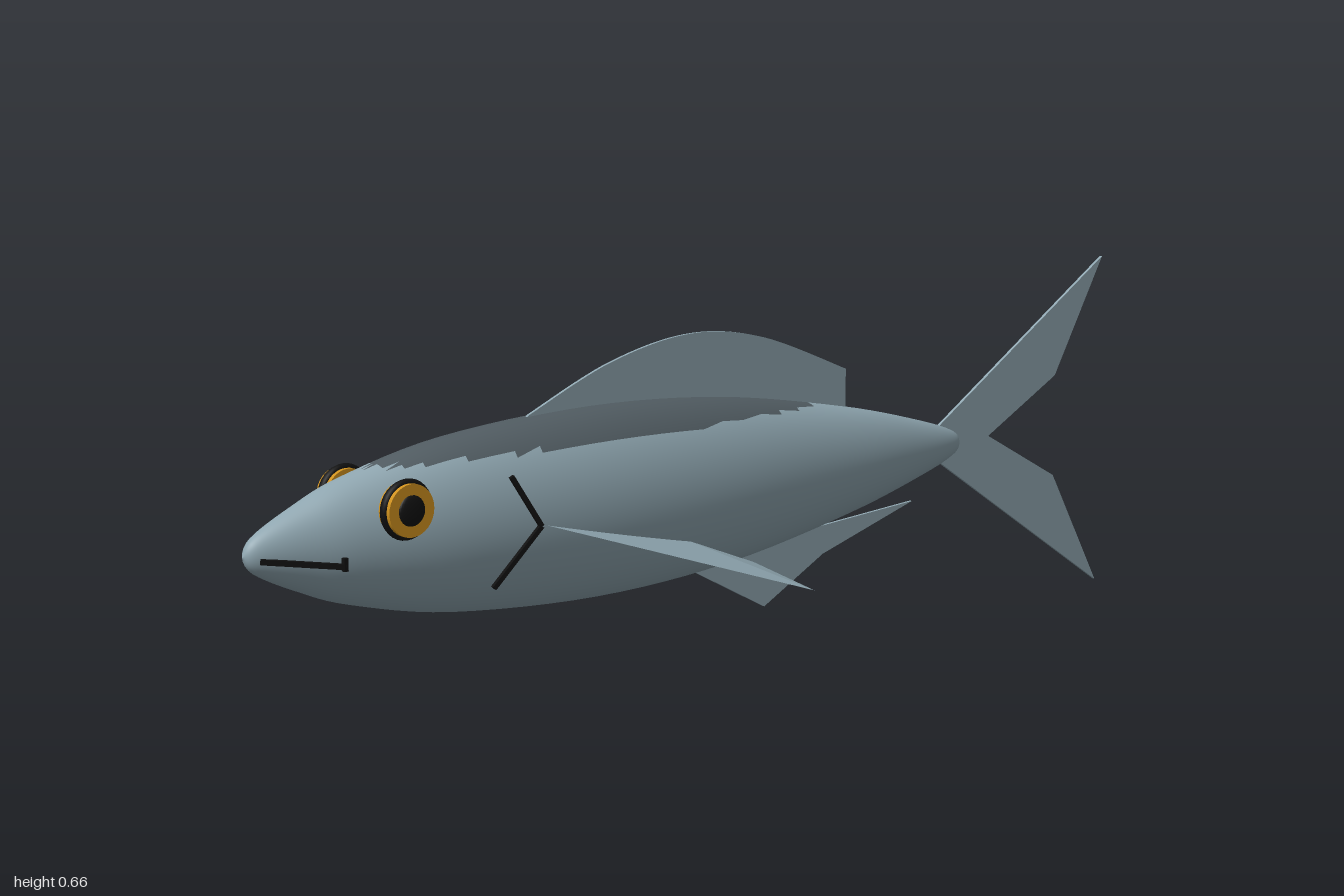
import * as THREE from 'three';

const mat = (name, color, side = THREE.FrontSide) => {
  const m = new THREE.MeshStandardMaterial({ color, side });
  m.name = name;
  return m;
};

export function createModel() {
  const pale = mat('silver blue', 0x8fa6b0, THREE.DoubleSide);
  const dark = mat('slate back', 0x515c62);
  const gold = mat('gold iris', 0xd0921e);
  const black = mat('black', 0x101010);

  const fish = new THREE.Group();
  fish.name = 'fish';
  const add = (name, geometry, material, parent = fish) => {
    const mesh = new THREE.Mesh(geometry, material);
    mesh.name = name;
    parent.add(mesh);
    return mesh;
  };

  // Body: a spindle along x, flattened sideways, with a dark back chosen by height
  const midY = 0.328;
  const profile = new THREE.SplineCurve([
    [0, -1], [0.03, -0.98], [0.07, -0.9], [0.107, -0.8], [0.149, -0.6], [0.168, -0.3],
    [0.152, 0], [0.102, 0.3], [0.053, 0.5], [0.022, 0.59], [0, 0.602],
  ].map(([r, x]) => new THREE.Vector2(r, x))).getPoints(60);
  profile.forEach((p) => { p.x = Math.max(p.x, 0); });
  const body = new THREE.LatheGeometry(profile, 64);
  body.rotateZ(-Math.PI / 2).scale(1, 1, 0.655).translate(0, midY, 0);
  const pos = body.attributes.position;
  const sides = [], back = [];
  for (let i = 0; i < body.index.count; i += 3) {
    const face = [0, 1, 2].map((k) => body.index.getX(i + k));
    const y = face.reduce((sum, v) => sum + pos.getY(v), 0) / 3;
    (y > 0.446 ? back : sides).push(...face);
  }
  body.setIndex([...sides, ...back]);
  body.addGroup(0, sides.length, 0);
  body.addGroup(sides.length, back.length, 1);
  add('body', body, [pale, dark]);

  // Upright fins: thin plates on the centre line
  const plate = (name, shape) => {
    const g = new THREE.ExtrudeGeometry(shape, { depth: 0.006, bevelEnabled: false, curveSegments: 24 });
    add(name, g.translate(0, 0, -0.003), pale);
  };
  const outline = (points) => new THREE.Shape(points.map(([x, y]) => new THREE.Vector2(x, y)));

  const dorsal = new THREE.Shape();
  dorsal.moveTo(-0.46, 0.47);
  dorsal.lineTo(-0.43, 0.494);
  dorsal.splineThru([[-0.25, 0.567], [-0.07, 0.6], [0.1, 0.578], [0.305, 0.5]]
    .map(([x, y]) => new THREE.Vector2(x, y)));
  dorsal.lineTo(0.305, 0.4);
  plate('dorsalFin', dorsal);
  plate('tailFin', outline([
    [0.54, 0.358], [1, 0.656], [0.87, 0.43], [0.685, 0.33], [0.87, 0.23], [1, 0], [0.54, 0.302],
  ]));
  plate('analFin', outline([
    [-0.08, 0.178], [0.105, 0.08], [0.25, 0.158], [0.48, 0.228], [0.17, 0.206], [0, 0.2],
  ]));

  // Folded side fin: root front, tip, root fold, root back
  const sideFin = (s) => {
    const [a, t, m, c] = [
      [-0.48, 0.328, 0.1 * s], [-0.095, 0.201, 0.356 * s],
      [-0.15, 0.252, 0.092 * s], [0, 0.193, 0.092 * s],
    ];
    const corners = s > 0 ? [a, t, m, m, t, c] : [a, m, t, m, c, t];
    const g = new THREE.BufferGeometry();
    g.setAttribute('position', new THREE.Float32BufferAttribute(corners.flat(), 3));
    g.computeVertexNormals();
    return g;
  };

  // Thin straight stroke between two points
  const stroke = (name, from, to, width, parent) => {
    const a = new THREE.Vector3(...from), b = new THREE.Vector3(...to);
    const mesh = add(name, new THREE.BoxGeometry(width, width, a.distanceTo(b)), black, parent);
    mesh.position.copy(a).add(b).multiplyScalar(0.5);
    mesh.lookAt(b);
  };

  for (const s of [1, -1]) {
    const side = s > 0 ? 'left' : 'right';
    add(side + 'SideFin', sideFin(s), pale);

    // Eye: gold disc, black rim and domed pupil
    const eye = new THREE.Group();
    eye.name = side + 'Eye';
    eye.position.set(-0.745, 0.386, 0.09 * s);
    fish.add(eye);
    const iris = new THREE.CylinderGeometry(0.044, 0.044, 0.03, 32).rotateX(Math.PI / 2);
    add('iris', iris, gold, eye);
    add('eyeRim', new THREE.TorusGeometry(0.044, 0.007, 8, 32), black, eye);
    const pupil = add('pupil', new THREE.SphereGeometry(0.026, 24, 12), black, eye);
    pupil.scale.z = 0.3;
    pupil.position.z = 0.014 * s;

    // Gill mark and mouth
    const gill = new THREE.Group();
    gill.name = side + 'Gill';
    fish.add(gill);
    stroke('upperGill', [-0.547, 0.418, 0.108 * s], [-0.495, 0.33, 0.12 * s], 0.008, gill);
    stroke('lowerGill', [-0.495, 0.33, 0.12 * s], [-0.585, 0.235, 0.106 * s], 0.008, gill);
    const mouth = new THREE.Group();
    mouth.name = side + 'Mouth';
    fish.add(mouth);
    stroke('lip', [-0.98, 0.322, 0.022 * s], [-0.855, 0.305, 0.077 * s], 0.009, mouth);
    stroke('mouthCorner', [-0.857, 0.298, 0.077 * s], [-0.857, 0.32, 0.077 * s], 0.008, mouth);
  }
  return fish;
}
